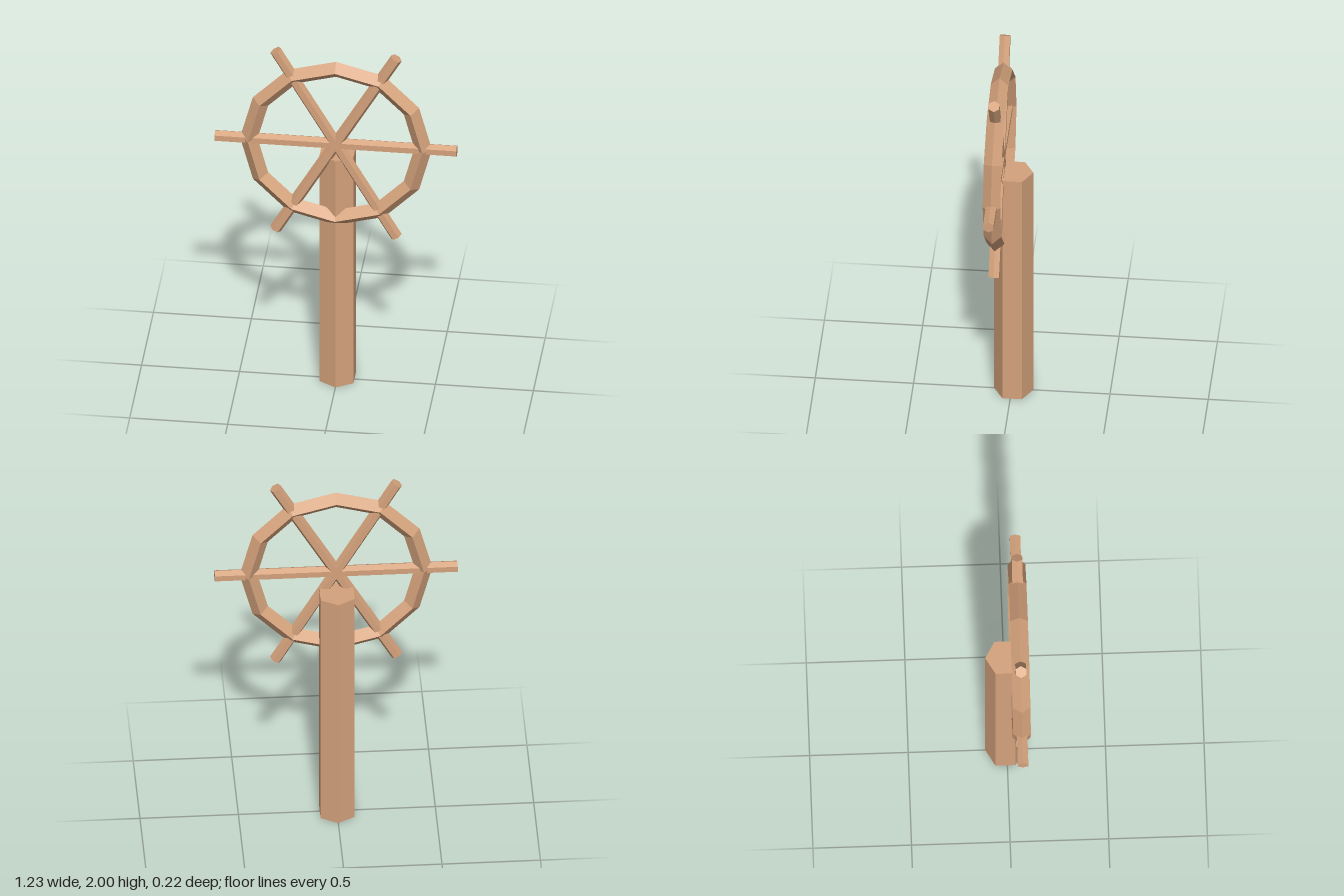
import * as THREE from 'three';

export function createModel() {
  const model = new THREE.Group();
  model.name = 'shipWheel';
  const wood = new THREE.MeshStandardMaterial({ color: 0xd4a27c, flatShading: true });
  wood.name = 'wood';

  const add = (parent, name, geometry) => {
    const mesh = new THREE.Mesh(geometry, wood);
    mesh.name = name;
    parent.add(mesh);
    return mesh;
  };

  // Hexagonal post with one edge facing forward
  const postHeight = 1.36;
  const post = add(model, 'post', new THREE.CylinderGeometry(0.1, 0.1, postHeight, 6));
  post.position.set(0, postHeight / 2, -0.01);

  // Wheel in front of the top of the post
  const wheel = new THREE.Group();
  wheel.name = 'wheel';
  wheel.position.set(0, 1.451, 0.062);
  model.add(wheel);

  // Twelve-sided rim with a diamond section
  add(wheel, 'rim', new THREE.TorusGeometry(0.445, 0.045, 4, 12));

  // Three hexagonal bars through the hub, each making two spokes with handles
  for (let i = 0; i < 3; i++) {
    const bar = add(wheel, 'spokeBar' + (i + 1),
      new THREE.CylinderGeometry(0.031, 0.031, 1.234, 6, 1, false, Math.PI / 2));
    bar.rotation.z = Math.PI / 2 + i * Math.PI / 3;
  }

  return model;
}
